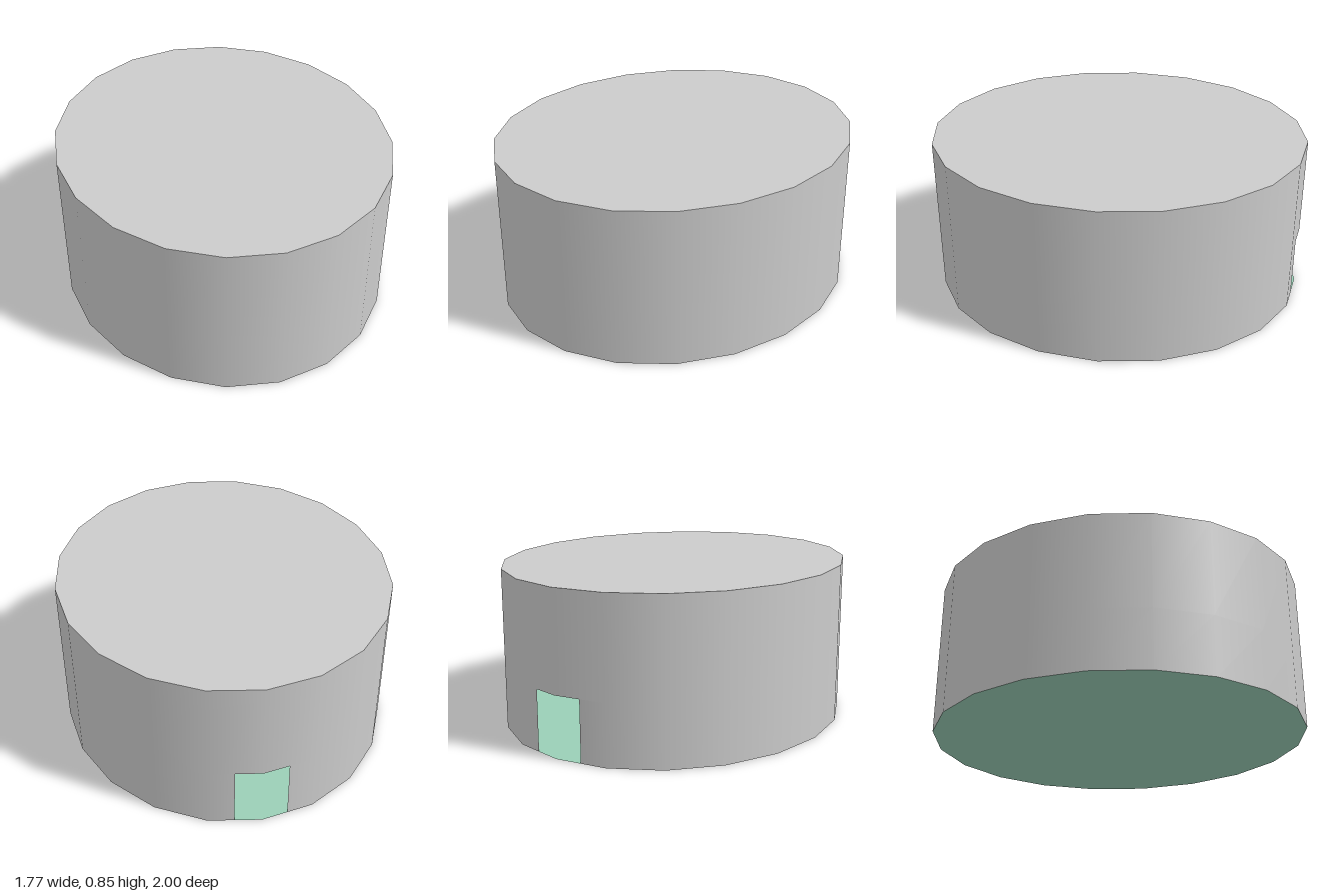
import * as THREE from 'three';

const SIDES = 20, RX = 0.884, RZ = 1, HEIGHT = 0.854, DOOR_HEIGHT = 0.325;

const grey = new THREE.MeshStandardMaterial({ color: 0xcccccc, side: THREE.DoubleSide });
const green = new THREE.MeshStandardMaterial({ color: 0x9acfb6, side: THREE.DoubleSide });

// Point on the oval outline, in facet units counted from the back; halves lie mid-facet
function outline(t) {
  const corner = (i) => {
    const a = (i / SIDES) * Math.PI * 2;
    return new THREE.Vector2(-RX * Math.sin(a), -RZ * Math.cos(a));
  };
  const i = Math.floor(t);
  return corner(i).lerp(corner(i + 1), t - i);
}

// Upright smooth strip of wall following the outline through the given stops
function wallStrip(stops, y0, y1) {
  const pos = [], nor = [], index = [];
  stops.forEach((t, k) => {
    const p = outline(t);
    const n = new THREE.Vector2(p.x / RX ** 2, p.y / RZ ** 2).normalize();
    for (const y of [y0, y1]) {
      pos.push(p.x, y, p.y);
      nor.push(n.x, 0, n.y);
    }
    if (k > 0) {
      const a = 2 * (k - 1);
      index.push(a, a + 3, a + 2, a, a + 1, a + 3);
    }
  });
  const g = new THREE.BufferGeometry();
  g.setAttribute('position', new THREE.Float32BufferAttribute(pos, 3));
  g.setAttribute('normal', new THREE.Float32BufferAttribute(nor, 3));
  // Wind the faces so that they look outwards
  g.setIndex(index.reverse());
  return g;
}

// Flat oval plate facing up or down
function plate(y, up) {
  const g = new THREE.CircleGeometry(1, SIDES);
  g.rotateX(up ? -Math.PI / 2 : Math.PI / 2);
  g.scale(RX, 1, RZ);
  g.translate(0, y, 0);
  return g;
}

export function createModel() {
  const model = new THREE.Group();
  const add = (name, geometry, material) => {
    const mesh = new THREE.Mesh(geometry, material);
    mesh.name = name;
    model.add(mesh);
  };

  // Full ring above the doorway
  const ring = Array.from({ length: SIDES + 1 }, (_, i) => i);
  add('upperWall', wallStrip(ring, DOOR_HEIGHT, HEIGHT), grey);

  // Lower ring, left open for half a facet each side of the back corner
  const lower = [0.5, ...ring.slice(1, SIDES), SIDES - 0.5];
  add('lowerWall', wallStrip(lower, 0, DOOR_HEIGHT), grey);

  add('roof', plate(HEIGHT, true), grey);
  add('floor', plate(0, false), green);
  return model;
}
